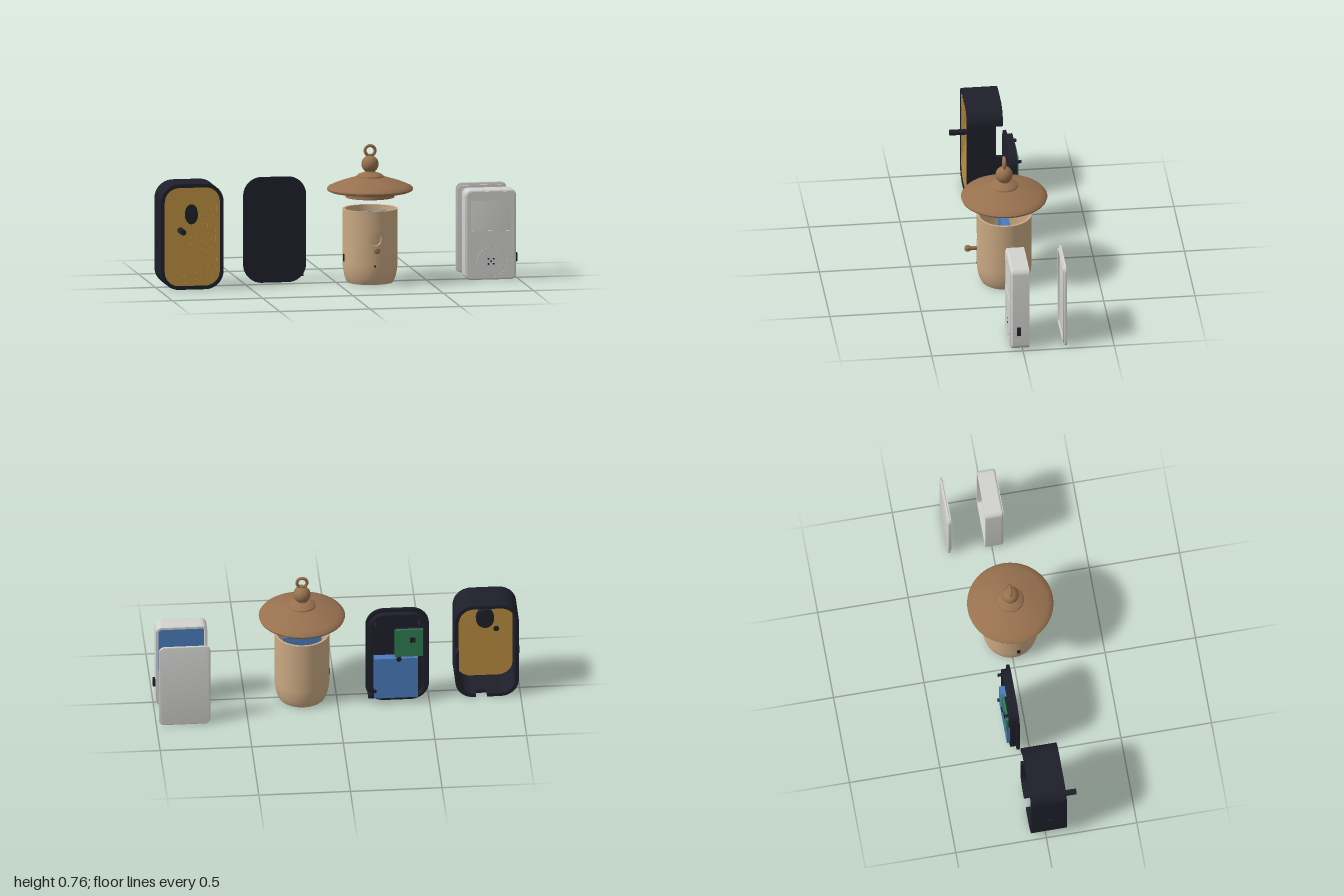
import * as THREE from 'three';
import { toCreasedNormals } from 'three/addons/utils/BufferGeometryUtils.js';

const mat = (name, color, side = THREE.FrontSide) => {
  const m = new THREE.MeshStandardMaterial({ color, side });
  m.name = name;
  return m;
};

export function createModel() {
  const black = mat('charcoal', 0x1f1f2b);
  const gold = mat('gold', 0xb88c3e, THREE.DoubleSide);
  const tan = mat('pale wood', 0xcaa983, THREE.DoubleSide);
  const brown = mat('brown wood', 0x98714f);
  const grey = mat('light grey', 0xd2d2d0);
  const blue = mat('battery blue', 0x4a7abc);
  const green = mat('board green', 0x2f7a50);

  const model = new THREE.Group();
  const group = (name, x, y, z) => {
    const g = new THREE.Group();
    g.name = name;
    g.position.set(x, y, z);
    model.add(g);
    return g;
  };
  const add = (g, name, geo, m, x = 0, y = 0, z = 0) => {
    const mesh = new THREE.Mesh(geo, m);
    mesh.name = name;
    mesh.position.set(x, y, z);
    g.add(mesh);
    return mesh;
  };
  const box = (w, h, d) => new THREE.BoxGeometry(w, h, d);
  const rod = (r, len, r2 = r) => new THREE.CylinderGeometry(r2, r, len, 32).rotateX(Math.PI / 2);

  // Rounded rectangle centred on the origin, starting at the middle of the +x side
  const rounded = (w, h, r, C = THREE.Shape) => {
    const s = new C(), a = w / 2 - r, b = h / 2 - r, q = Math.PI / 2;
    s.moveTo(w / 2, 0);
    s.absarc(a, b, r, 0, q);
    s.absarc(-a, b, r, q, 2 * q);
    s.absarc(-a, -b, r, 2 * q, 3 * q);
    s.absarc(a, -b, r, 3 * q, 4 * q);
    s.lineTo(w / 2, 0);
    return s;
  };
  const slab = (shape, z0, z1, bevel = 0) => {
    const geo = new THREE.ExtrudeGeometry(shape, {
      depth: z1 - z0 - 2 * bevel, curveSegments: 16, bevelEnabled: bevel > 0,
      bevelThickness: bevel, bevelSize: bevel, bevelOffset: -bevel, bevelSegments: 4,
    });
    return toCreasedNormals(geo.translate(0, 0, z0 + bevel), 0.5);
  };
  const frame = (w, h, r, t) => {
    const s = rounded(w, h, r);
    s.holes.push(rounded(w - 2 * t, h - 2 * t, r - t, THREE.Path));
    return s;
  };
  const lathe = (pts, start = 0, len = Math.PI * 2) => toCreasedNormals(
    new THREE.LatheGeometry(pts.map(p => new THREE.Vector2(...p)), 72, start, len), 0.6);
  // Surface through closed loops of [x, y, z] points
  const loft = rows => {
    const n = rows[0].length, idx = [];
    for (let j = 0; j < rows.length - 1; j++) for (let i = 0; i < n; i++) {
      const a = j * n + i, b = j * n + (i + 1) % n;
      idx.push(a, b, a + n, b, b + n, a + n);
    }
    const geo = new THREE.BufferGeometry();
    geo.setAttribute('position', new THREE.Float32BufferAttribute(rows.flat(2), 3));
    geo.setIndex(idx);
    geo.computeVertexNormals();
    return toCreasedNormals(geo, 0.4);
  };

  // ---- Dark case with a terraced gold front, open at the back ----
  const W = 0.346, H = 0.58, T = 0.02;
  const shell = group('caseShell', -0.817, 0.29, 0);
  add(shell, 'caseWall', slab(frame(W, H, 0.1, T), -0.04, 0.116), black);

  // Rear edge of the wall, interrupted by a side notch and a bottom notch
  const outer = rounded(W, H, 0.1).getSpacedPoints(170);
  const inner = rounded(W - 2 * T, H - 2 * T, 0.1 - T).getSpacedPoints(170);
  const inNotch = p => (p.x > 0.16 && p.y > 0.05 && p.y < 0.12) || (p.y < -0.28 && p.x > 0 && p.x < 0.055);
  let run = [];
  outer.forEach((p, i) => {
    const gap = inNotch(p);
    if (!gap) run.push(i);
    if ((gap || i === outer.length - 1) && run.length > 1) {
      const edge = new THREE.Shape([...run.map(k => outer[k]), ...run.map(k => inner[k]).reverse()]);
      add(shell, 'caseRearEdge', slab(edge, -0.081, -0.04), black);
    }
    if (gap) run = [];
  });

  // Terraces blend from the rounded outline into the oval entrance
  const holeY = 0.12, steps = 19, rows = [];
  const ring = (t, z) => inner.slice(0, -1).map(p => {
    const a = Math.atan2(p.y / H, p.x / W);
    return [p.x + (0.037 * Math.cos(a) - p.x) * t, p.y + (holeY + 0.055 * Math.sin(a) - p.y) * t, z];
  });
  for (let k = 0; k < steps; k++) {
    const z = 0.111 - k * 0.0012;
    rows.push(ring(k / steps, z), ring((k + 1) / steps, z));
  }
  add(shell, 'terracedFront', loft(rows), gold);
  add(shell, 'entranceCup', rod(0.052, 0.03).scale(0.95, 1.1, 1), black, 0, holeY, 0.073);
  add(shell, 'casePerch', rod(0.016, 0.095), black, -0.063, 0.035, 0.1385);
  add(shell, 'caseSidePort', box(0.025, 0.04, 0.02), black, -0.1705, -0.055, 0.02);

  // ---- Back plate carrying battery and board ----
  const back = group('backPlate', -0.327, 0.29, 0);
  add(back, 'plate', slab(rounded(W, H, 0.1), -0.073, -0.059), black);
  add(back, 'plateRim', slab(frame(0.306, 0.54, 0.082, 0.012), -0.106, -0.07), black);
  add(back, 'battery', box(0.24, 0.25, 0.045), blue, 0.01, -0.125, -0.097);
  add(back, 'board', box(0.155, 0.17, 0.012), green, -0.06, 0.1, -0.12);
  add(back, 'boardSupport', box(0.13, 0.14, 0.044), black, -0.06, 0.1, -0.092);
  add(back, 'boardSensor', rod(0.014, 0.012), black, -0.005, 0.0, -0.125);
  add(back, 'boardChip', box(0.03, 0.03, 0.006), black, -0.08, 0.12, -0.128);
  for (const [x, y] of [[0.12, 0.21], [-0.12, 0.21], [0.125, -0.2]])
    add(back, 'mountingPost', rod(0.009, 0.06), black, x, y, -0.1);
  add(back, 'plateTab', box(0.03, 0.02, 0.04), black, 0.145, -0.25, -0.08);

  // ---- Wooden lantern house ----
  const house = group('lanternHouse', 0.187, 0, 0.009);
  const R = 0.15, RI = 0.137, cy = 0.255, half = 0.06;
  add(house, 'lowerBody', lathe([[0.125, 0], [0.132, 0.013], [0.14, 0.035], [0.146, 0.065], [0.149, 0.09],
    [R, 0.11], [R, cy - half]]), tan);
  add(house, 'middleBody', lathe([[R, cy - half], [R, cy + half]], half / R, Math.PI * 2 - 2 * half / R), tan);
  add(house, 'upperBodyAndLining', lathe([[R, cy + half], [R, 0.405], [RI, 0.405], [RI, 0.09], [0.118, 0.012]]), tan);

  // Wall patch around the round entrance, with its short tunnel
  const wallRing = (t, r) => Array.from({ length: 64 }, (_, i) => {
    const a = i / 64 * Math.PI * 2, c = Math.cos(a), s = Math.sin(a);
    const d = 0.037 + (half / Math.max(Math.abs(c), Math.abs(s)) - 0.037) * t;
    return [r * Math.sin(d * c / R), cy + d * s, r * Math.cos(d * c / R)];
  });
  add(house, 'entranceSurround', loft([wallRing(1, R), wallRing(0.66, R), wallRing(0.33, R), wallRing(0, R), wallRing(0, RI)]), tan);

  const floor = new THREE.Shape().absarc(0, 0, 0.125, 0, Math.PI * 2);
  const slot = new THREE.Path([[-0.022, -0.088], [0.022, -0.088], [0.022, -0.072], [-0.022, -0.072]]
    .map(p => new THREE.Vector2(...p)));
  floor.holes.push(slot);
  add(house, 'floor', slab(floor, 0, 0.012).rotateX(-Math.PI / 2), tan);
  add(house, 'innerBattery', box(0.21, 0.27, 0.045), blue, 0, 0.25, 0);
  add(house, 'sidePort', box(0.012, 0.04, 0.018), black, -0.147, 0.14, 0.02);
  add(house, 'frontPinhole', rod(0.006, 0.006), black, 0, 0.105, 0.147);

  const peg = lathe([[0, 0], [0.011, 0], [0.011, 0.038], [0.014, 0.048], [0.018, 0.056], [0.018, 0.066],
    [0.014, 0.074], [0.006, 0.077], [0, 0.077]]).rotateX(Math.PI / 2);
  add(house, 'perchPeg', peg, brown, 0, 0.2, 0.14);

  add(house, 'roof', lathe([[0, 0.467], [0.134, 0.467], [0.134, 0.5], [0.222, 0.5], [0.232, 0.505], [0.235, 0.514],
    [0.228, 0.524], [0.205, 0.535], [0.17, 0.549], [0.13, 0.562], [0.1, 0.571], [0.075, 0.577], [0.073, 0.584],
    [0.06, 0.594], [0.04, 0.601], [0.029, 0.605], [0.026, 0.612], [0.028, 0.62], [0, 0.62]]), brown);
  add(house, 'finialBall', new THREE.SphereGeometry(0.047, 40, 28), brown, 0, 0.648, 0);
  add(house, 'ringCollar', new THREE.CylinderGeometry(0.012, 0.012, 0.014, 24), brown, 0, 0.695, 0);
  add(house, 'hangingRing', new THREE.TorusGeometry(0.0275, 0.0085, 16, 48), brown, 0, 0.721, 0);

  // ---- Grey handheld box, open at the back ----
  const w = 0.281, h = 0.495, r = 0.032, b = 0.01;
  const device = group('handheldBox', 0.8465, h / 2, 0);
  add(device, 'deviceFrame', slab(frame(w, h, r, 0.013), -0.037, 0.053), grey);
  add(device, 'deviceFront', slab(rounded(w, h, r), 0.033, 0.062, b), grey);
  // Thin face plate with openings for the screen and the wheel
  const face = rounded(w - 2 * b, h - 2 * b, r - b), wheelY = 0.102 - h / 2;
  const screen = rounded(0.22, 0.165, 0.008).getPoints(6).map(p => p.add(new THREE.Vector2(0, 0.105)));
  face.holes.push(new THREE.Path(screen), new THREE.Path().absarc(0, wheelY, 0.085, 0, Math.PI * 2));
  add(device, 'facePlate', slab(face, 0.062, 0.066), grey);
  add(device, 'wheel', rod(0.079, 0.004), grey, 0, wheelY, 0.064);
  for (const [x, y] of [[0, 0], [1, 1], [1, -1], [-1, 1], [-1, -1]])
    add(device, 'speakerHole', rod(0.005, 0.002), black, x * 0.014, wheelY + y * 0.014, 0.0657);
  add(device, 'deviceSidePort', box(0.03, 0.048, 0.02), black, 0.1385, 0.117 - h / 2, 0.021);
  add(device, 'deviceBattery', box(0.245, 0.265, 0.045), blue, 0, 0.09, 0.011);
  add(device, 'deviceBoard', box(0.17, 0.15, 0.012), green, -0.03, -0.125, 0.01);
  add(device, 'boardConnector', box(0.06, 0.045, 0.02), grey, 0.01, -0.18, 0);

  // Loose rear cover with a raised lip facing the box
  const cover = group('rearCover', 0.8465, h / 2, 0);
  add(cover, 'coverPanel', slab(rounded(w, h, r), -0.243, -0.23, 0.004), grey);
  add(cover, 'coverLip', slab(frame(w - 0.03, h - 0.03, r - 0.012, 0.012), -0.232, -0.222), grey);

  return model;
}
